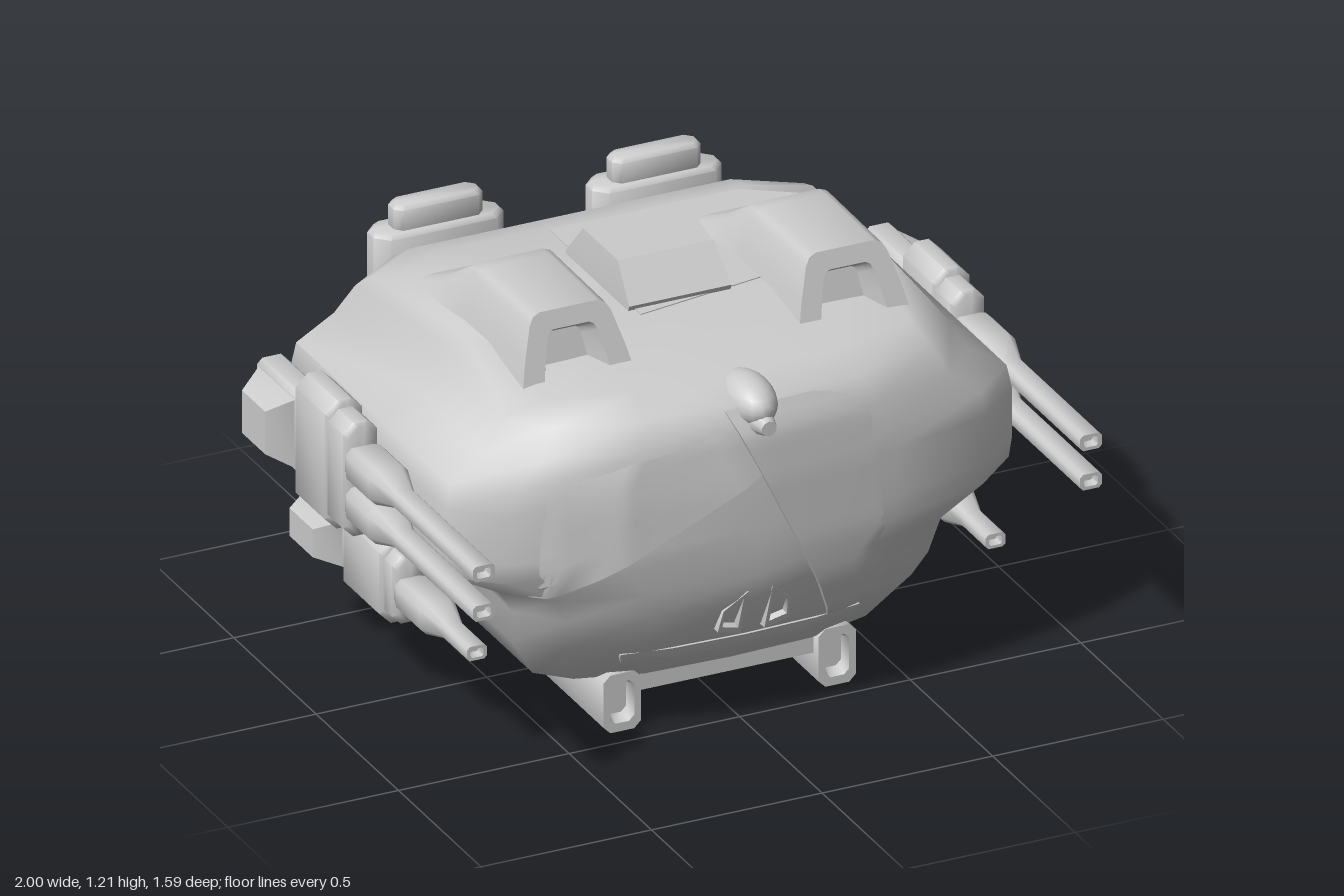
import * as THREE from 'three';
import { toCreasedNormals } from 'three/addons/utils/BufferGeometryUtils.js';

const grey = new THREE.MeshStandardMaterial({ color: 0xcccccc });
const thin = new THREE.MeshStandardMaterial({ color: 0xcccccc, side: THREE.DoubleSide });

function mesh(name, geometry, parent, x = 0, y = 0, z = 0, material = grey) {
  const m = new THREE.Mesh(geometry, material);
  m.name = name;
  m.position.set(x, y, z);
  parent.add(m);
  return m;
}

function build(points, index, crease) {
  const g = new THREE.BufferGeometry();
  g.setAttribute('position', new THREE.Float32BufferAttribute(points.flat(), 3));
  g.setIndex(index);
  return toCreasedNormals(g, crease);
}

// Skin over closed rings, capped at both ends; rings run anticlockwise about the loft direction.
function loft(rings, crease = 0.9) {
  const n = rings[0].length, index = [], points = rings.flat();
  for (let i = 0; i < rings.length - 1; i++)
    for (let j = 0; j < n; j++) {
      const k = (j + 1) % n, a = i * n, b = a + n;
      index.push(a + j, a + k, b + k, a + j, b + k, b + j);
    }
  [rings[0], rings.at(-1)].forEach((r, e) => {
    const c = points.push([0, 1, 2].map(q => r.reduce((s, p) => s + p[q], 0) / n)) - 1;
    const o = e * (rings.length - 1) * n;
    for (let j = 0; j < n; j++) {
      const k = (j + 1) % n;
      index.push(c, o + (e ? j : k), o + (e ? k : j));
    }
  });
  return build(points, index, crease);
}

// Chamfered rectangle in the xy plane at depth z.
function octagon(hw, hh, c, z) {
  return [[hw, -hh + c], [hw, hh - c], [hw - c, hh], [c - hw, hh],
    [-hw, hh - c], [-hw, c - hh], [c - hw, -hh], [hw - c, -hh]].map(p => [...p, z]);
}
const chamferBox = (hw, hh, c, z0, z1) => loft([
  octagon(hw - 0.01, hh - 0.01, c, z0), octagon(hw, hh, c, z0 + 0.012),
  octagon(hw, hh, c, z1 - 0.012), octagon(hw - 0.01, hh - 0.01, c, z1)]);

// Hull levels: height, half width, front, back.
const LEVELS = [[0.15, 0.51, 0.44, -0.40], [0.30, 0.61, 0.56, -0.50], [0.41, 0.625, 0.62, -0.58],
  [0.48, 0.67, 0.632, -0.63], [0.56, 0.82, 0.64, -0.633], [0.62, 0.83, 0.64, -0.635],
  [0.76, 0.83, 0.64, -0.635], [0.83, 0.815, 0.635, -0.63], [0.90, 0.71, 0.63, -0.615],
  [0.98, 0.66, 0.60, -0.585], [1.02, 0.635, 0.50, -0.53], [1.065, 0.61, 0.18, -0.40]];
const FX = [0, 0.48, 0.84, 1], FZ = [1, 0.98, 0.86, 0.68];

// Depth of the hull's front skin at a point.
function frontZ(x, y) {
  let i = 0;
  while (i < LEVELS.length - 2 && y > LEVELS[i + 1][0]) i++;
  const [a, b] = [LEVELS[i], LEVELS[i + 1]], t = (y - a[0]) / (b[0] - a[0]);
  const w = a[1] + (b[1] - a[1]) * t, zf = a[2] + (b[2] - a[2]) * t;
  const u = Math.min(Math.abs(x) / w, 1);
  const k = u < FX[1] ? 0 : u < FX[2] ? 1 : 2;
  return zf * (FZ[k] + (FZ[k + 1] - FZ[k]) * (u - FX[k]) / (FX[k + 1] - FX[k]));
}

function hull() {
  return loft(LEVELS.map(([y, w, f, b]) => {
    const half = [...FX.map((u, i) => [u * w, y, f * FZ[i]]),
      [w, y, 0], [w, y, b * 0.8], [w * 0.74, y, b], [w * 0.4, y, b]];
    const other = half.slice(1).reverse().map(([x, , z]) => [-x, y, z]);
    return [...half, [0, y, b], ...other];
  }), 1.1);
}

// Overlapping front armour: lifted along its seam (t = 0), fading into the hull.
function armour(at, rows = 24, cols = 10) {
  const points = [], index = [], n = cols + 2;
  for (let i = 0; i <= rows; i++)
    for (let j = -1; j <= cols; j++) {
      const t = Math.max(j, 0) / cols, v = i / rows, [x, y] = at(v, t);
      const lift = 0.018 * (1 - t) * Math.min(1, 12 * v + 0.15, 8 * (1 - v) + 0.3) - 0.006 * t;
      points.push([x, y, frontZ(x, y) + (j < 0 ? -0.02 : lift)]);
    }
  for (let i = 0; i < rows; i++)
    for (let j = 0; j < n - 1; j++) {
      const a = i * n + j;
      index.push(a, a + 1, a + n + 1, a, a + n + 1, a + n);
    }
  return build(points, index, 0.8);
}

// Roof hood with a scooped front, spreading into the roof behind.
function hood() {
  const half = [[1, 0], [0.86, 0.45], [0.7, 0.86], [0.62, 0.96], [0.5, 1]];
  const arch = (w, h, z, slant) => [...half, ...half.map(([x, y]) => [-x, y]).reverse()]
    .map(([x, y]) => [x * w, 0.99 + y * h, z + slant * (1 - y * h / 0.22)]);
  return loft([arch(0.23, 0.07, -0.3, 0), arch(0.21, 0.14, -0.16, 0), arch(0.185, 0.212, -0.05, 0),
    arch(0.175, 0.22, 0, 0), arch(0.17, 0.22, 0.3, 0.07), arch(0.105, 0.17, 0.3, 0.07),
    arch(0.07, 0.14, 0.25, 0.05)], 1);
}

// Block with a tapered rear pod; forward is +z and outward is +x.
function mount(name, h, len, podLen) {
  const g = new THREE.Group();
  g.name = name;
  mesh('mountBlock', chamferBox(0.055, h, 0.035, -len, 0), g);
  mesh('podCore', chamferBox(0.042, h * 0.63, 0.015, -len - podLen, -len + 0.02), g);
  const p = podLen / 2;
  const rect = (x, hy, hz) => [[x, -hy, hz], [x, -hy, -hz], [x, hy, -hz], [x, hy, hz]];
  mesh('pod', loft([rect(0, h * 0.54, p * 0.86), rect(0.038, h * 0.54, p * 0.86),
    rect(0.11, h * 0.33, p * 0.54)], 0.6), g, 0, 0, -len - p);
  return g;
}

// Barrel along +z: swollen jacket, flat-sided tube and hollow muzzle.
function barrel(r, jacket, length, tube) {
  const ring = (hw, hh, z) => octagon(hw, hh, hh * 0.4, z);
  return loft([ring(r * 0.85, r * 0.75, 0), ring(r * 1.12, r, 0.035), ring(r * 1.12, r, jacket - 0.09),
    ring(tube * 1.4, tube, jacket), ring(tube * 1.4, tube, length),
    ring(tube * 0.9, tube * 0.6, length), ring(tube * 0.8, tube * 0.5, length - 0.03)]);
}

function addSide(root, s) {
  const side = new THREE.Group();
  side.name = s > 0 ? 'leftSide' : 'rightSide';
  root.add(side);

  mesh('roofHood', hood(), side, s * 0.405);
  mesh('skid', loft([octagon(0.03, 0.05, 0.015, -0.36), octagon(0.035, 0.06, 0.015, -0.4),
    octagon(0.055, 0.085, 0.02, -0.4), octagon(0.055, 0.085, 0.02, 0.44),
    octagon(0.035, 0.06, 0.015, 0.44), octagon(0.03, 0.05, 0.015, 0.4)]), side, s * 0.315, 0.085);

  // Front vents beside the centre line
  const vent = (k, z) => [[-0.035, -0.07], [0.035, -0.05], [0.03, 0.02], [-0.035, 0.075]]
    .map(([x, y]) => [s * x * k, y * k, z + y * k * 0.35]);
  const rings = [vent(1, -0.04), vent(1, 0.012), vent(0.7, 0.012), vent(0.55, -0.01)];
  mesh('frontVent', loft(s > 0 ? rings : rings.map(r => r.reverse())),
    side, s * 0.07, 0.36, frontZ(0.07, 0.36));

  // Guns: twin above, single below
  const upper = mount('upperGun', 0.19, 0.2, 0.26);
  upper.position.set(s * 0.89, 0.69, -0.05);
  mesh('collar', chamferBox(0.05, 0.168, 0.03, -0.02, 0.1), upper);
  for (const y of [0.058, -0.058]) mesh('barrel', barrel(0.051, 0.26, 0.75, 0.023), upper, 0, y, 0.09);
  const lower = mount('lowerGun', 0.125, 0.24, 0.26);
  lower.position.set(s * 0.76, 0.345, 0.01);
  mesh('collar', chamferBox(0.045, 0.1, 0.025, -0.02, 0.06), lower);
  mesh('barrel', barrel(0.046, 0.27, 0.42, 0.021), lower, 0, 0, 0.05);
  for (const gun of [upper, lower]) {
    if (s < 0) gun.rotation.z = Math.PI;
    side.add(gun);
  }
  mesh('lowerGunBracket', chamferBox(0.1, 0.065, 0.02, -0.1, 0.1), side, s * 0.64, 0.38, -0.1);

  // Back pack: the same mount stood on end
  const pack = mount('backPack', 0.19, 0.32, 0.31);
  mesh('cap', chamferBox(0.037, 0.13, 0.02, -0.02, 0.07), pack);
  pack.quaternion.setFromRotationMatrix(new THREE.Matrix4().makeBasis(
    new THREE.Vector3(0, 0, -1), new THREE.Vector3(-1, 0, 0), new THREE.Vector3(0, 1, 0)));
  pack.position.set(s * 0.32, 1.01, -0.685);
  side.add(pack);
}

export function createModel() {
  const root = new THREE.Group();
  root.name = 'armouredPod';
  mesh('hull', hull(), root);

  // Diagonal armour overlaps
  mesh('diagonalArmour', armour((v, t) => {
    const y = 0.25 + v * 0.72, x = 0.25 - 0.345 * v;
    return [x + (0.45 - x) * t, y];
  }), root, 0, 0, 0, thin);
  mesh('upperArmour', armour((v, t) => {
    const x = -0.62 + 0.62 * v, y = 0.49 + 0.29 * v;
    return [x - 0.09 * t * v, y + (0.97 - y) * t];
  }), root, 0, 0, 0, thin);

  // Roof panel behind the diagonal seam, and sloped hatch
  const plate = new THREE.Shape([[-0.13, -0.17], [0.3, -0.1], [0.56, 0], [0.56, 0.29], [0.42, 0.385],
    [-0.13, 0.385]].map(p => new THREE.Vector2(...p)));
  mesh('roofPlate', new THREE.ExtrudeGeometry(plate, { depth: 0.008, bevelEnabled: false })
    .rotateX(-Math.PI / 2), root, 0, 1.06);
  const deck = (hw, y, f, b) => [[-hw, y, f], [hw, y, f], [hw, y, b], [-hw, y, b]];
  mesh('hatch', loft([deck(0.15, 1.03, 0.12, -0.27), deck(0.15, 1.08, 0.14, -0.24),
    deck(0.14, 1.175, 0.05, -0.16)], 0.5), root);

  // Nose sensor under a low cowl
  mesh('sensorCowl', new THREE.SphereGeometry(1, 18, 12).scale(0.07, 0.068, 0.12), root, 0, 0.965, 0.545);
  mesh('sensorLens', new THREE.CylinderGeometry(0.022, 0.04, 0.06, 10).rotateX(Math.PI / 2),
    root, 0, 0.93, 0.65);

  // Chin lip following the hull, cross bar and belly between the skids
  const lip = (w, y, out) => [[-w, y, 0.3], ...[-1, -0.6, 0, 0.6, 1].map(u =>
    [u * w, y, frontZ(u * w, y) + out]), [w, y, 0.3]];
  mesh('chin', loft([lip(0.31, 0.17, -0.01), lip(0.35, 0.25, 0.012), lip(0.35, 0.26, 0.008)], 0.5), root);
  mesh('crossBar', new THREE.BoxGeometry(0.54, 0.09, 0.1), root, 0, 0.137, 0.36);
  mesh('belly', new THREE.BoxGeometry(0.54, 0.03, 0.7), root, 0, 0.145, -0.03);

  for (const s of [1, -1]) addSide(root, s);
  return root;
}
